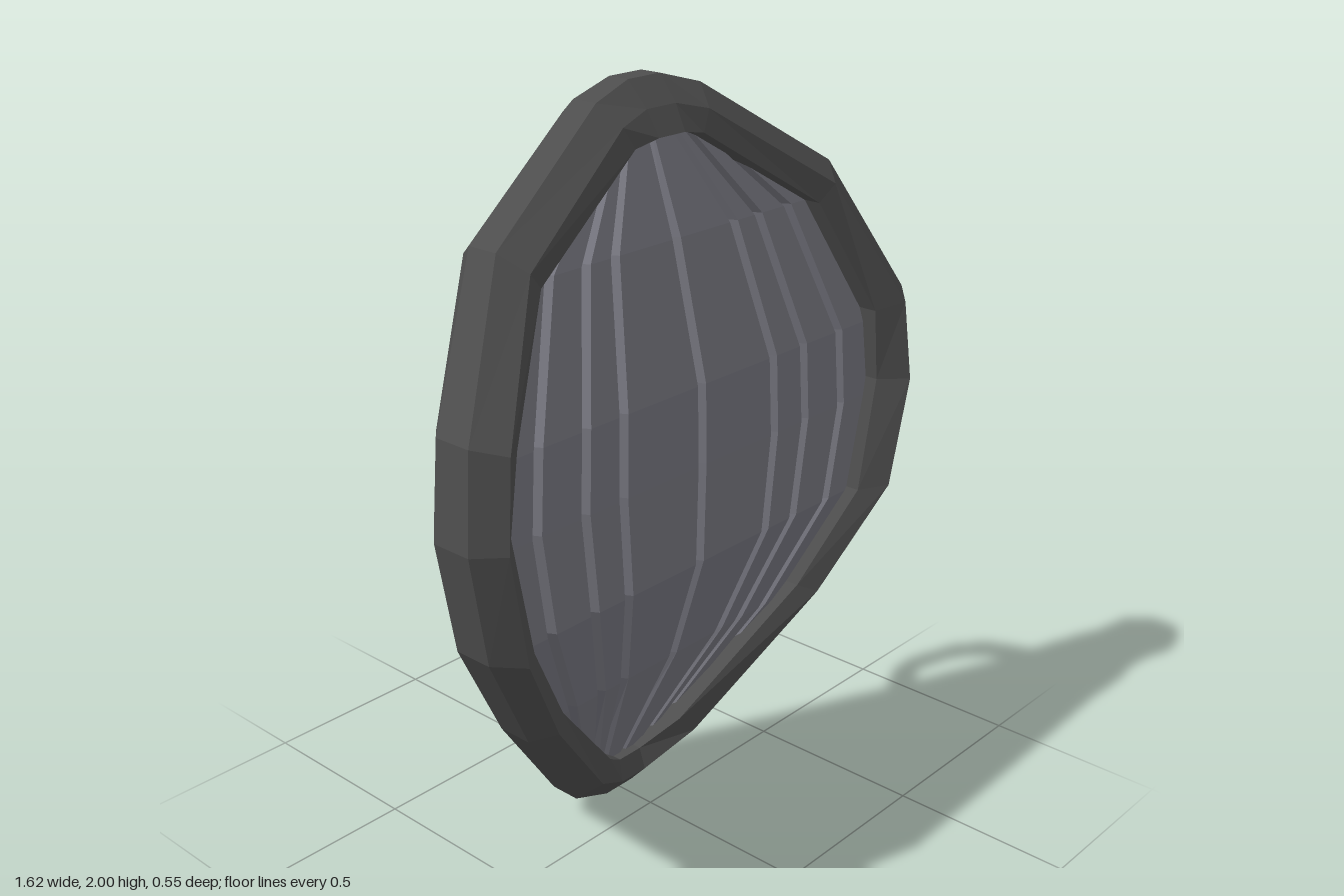
import * as THREE from 'three';

const rimMat = new THREE.MeshStandardMaterial({ color: 0x4e4e4e, flatShading: true });
rimMat.name = 'dark rim';
const panelMat = new THREE.MeshStandardMaterial({ color: 0x777780, flatShading: true, side: THREE.DoubleSide });
panelMat.name = 'grey shell';

// Skin a grid of points; rows and columns may wrap around
function skin(rows, closed) {
  const n = rows.length, m = rows[0].length, index = [];
  const id = (i, j) => (i % n) * m + (j % m);
  for (let i = 0; i < (closed ? n : n - 1); i++) {
    for (let j = 0; j < (closed ? m : m - 1); j++) {
      index.push(id(i, j), id(i + 1, j), id(i, j + 1));
      index.push(id(i + 1, j), id(i + 1, j + 1), id(i, j + 1));
    }
  }
  const geo = new THREE.BufferGeometry();
  geo.setAttribute('position', new THREE.Float32BufferAttribute(rows.flat(2), 3));
  geo.setIndex(index);
  const flat = geo.toNonIndexed();
  flat.computeVertexNormals();
  return flat;
}

function add(group, name, geo, mat) {
  const mesh = new THREE.Mesh(geo, mat);
  mesh.name = name;
  group.add(mesh);
  return mesh;
}

// Rim stations: outer x, y, inner x, y, centre z, outward slant of the front
const STATIONS = [
  [0.055, 2.0, 0.045, 1.875, -0.025, 1],
  [0.18, 1.965, 0.12, 1.86, -0.02, 0.75],
  [0.585, 1.72, 0.495, 1.63, 0.06, 0.5],
  [0.785, 1.36, 0.655, 1.32, 0.155, 0.15],
  [0.81, 1.12, 0.68, 1.12, 0.16, 0],
  [0.755, 0.83, 0.62, 0.81, 0.155, 0.1],
  [0.555, 0.5, 0.46, 0.55, 0.07, 0.3],
  [0.23, 0.1, 0.14, 0.2, -0.09, 0.5],
  [0.05, 0, 0.04, 0.125, -0.15, 0.5],
];
// Rim section: fraction from outer to inner edge, z offset, z change with slant
const SECTION = [
  [0.4, -0.115, 0], [1, -0.12, 0], [1, 0.05, 0.045],
  [0.5, 0.115, -0.055], [0, 0.055, -0.05], [0, -0.055, 0],
];

function rimGeometry() {
  const mirrored = STATIONS.map(([a, b, c, ...rest]) => [-a, b, -c, ...rest]).reverse();
  const rows = [...STATIONS, ...mirrored].map(([ox, oy, ix, iy, z, slant]) =>
    SECTION.map(([t, dz, ds]) => [ox + (ix - ox) * t, oy + (iy - oy) * t, z + dz + ds * slant]));
  return skin(rows, true);
}

// Shell rows: y, half width, z
const SHELL = [
  [1.9, 0.16, -0.01], [1.63, 0.53, 0.085], [1.28, 0.69, 0.17], [1.07, 0.71, 0.175],
  [0.8, 0.655, 0.17], [0.5, 0.465, 0.08], [0.1, 0.17, -0.115],
];

function shellGeometry() {
  const grooves = [-0.8, -0.58, -0.4, 0, 0.4, 0.58, 0.8];
  const rows = SHELL.map(([y, w, z]) => {
    const half = Math.min(0.015, w * 0.06);
    const row = [[-w, y, z]];
    // V grooves fan out between the top and bottom points
    for (const g of grooves) {
      row.push([g * w - half, y, z], [g * w, y, z - 0.027], [g * w + half, y, z]);
    }
    row.push([w, y, z]);
    return row;
  });
  return skin(rows, false);
}

// Flat band bent into an arch, drawn in the z-y plane
function handleGeometry() {
  const outer = [[0.085, 1.515], [-0.02, 1.51], [-0.1, 1.49], [-0.22, 1.41], [-0.26, 1.3],
    [-0.25, 1.07], [-0.18, 0.95], [-0.07, 0.83], [0.0, 0.79], [0.1, 0.755]];
  const inner = [[0.085, 1.475], [-0.02, 1.47], [-0.09, 1.45], [-0.19, 1.38], [-0.215, 1.29],
    [-0.205, 1.08], [-0.15, 0.98], [-0.05, 0.865], [0.01, 0.83], [0.1, 0.795]];
  const shape = new THREE.Shape([...outer, ...inner.reverse()].map(([z, y]) => new THREE.Vector2(z, y)));
  const geo = new THREE.ExtrudeGeometry(shape, { depth: 0.075, bevelEnabled: false });
  geo.translate(0, 0, -0.0375);
  geo.rotateY(-Math.PI / 2);
  return geo;
}

export function createModel() {
  const model = new THREE.Group();
  model.name = 'shield';
  add(model, 'rim', rimGeometry(), rimMat);
  add(model, 'ribbedShell', shellGeometry(), panelMat);
  const band = handleGeometry();
  add(model, 'leftHandle', band, panelMat).position.x = 0.28;
  add(model, 'rightHandle', band, panelMat).position.x = -0.248;
  return model;
}
